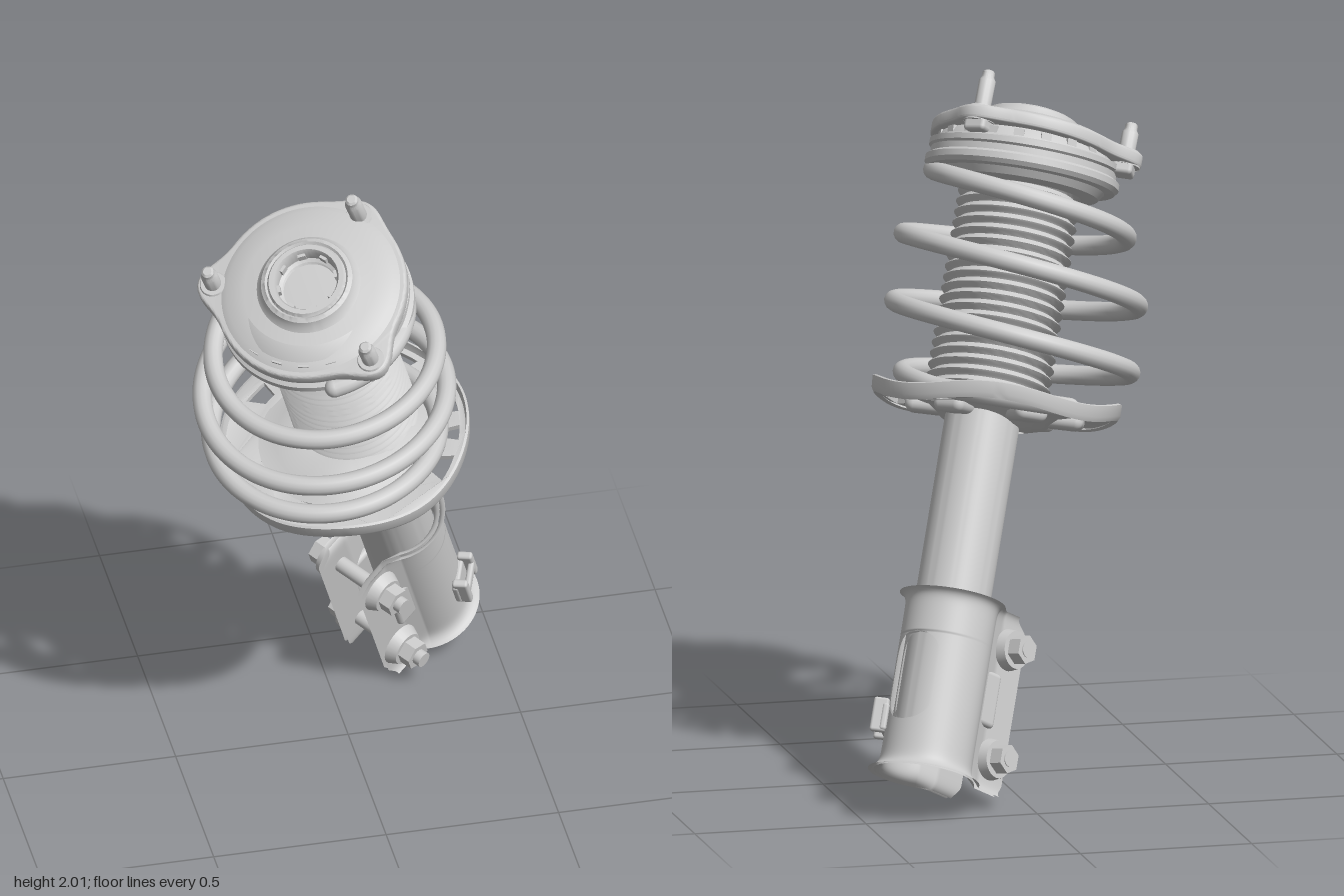
import * as THREE from 'three';
import { toCreasedNormals } from 'three/addons/utils/BufferGeometryUtils.js';
import { RoundedBoxGeometry } from 'three/addons/geometries/RoundedBoxGeometry.js';
import { ParametricGeometry } from 'three/addons/geometries/ParametricGeometry.js';

const V = (x, y, z) => new THREE.Vector3(x, y, z);
const mat = new THREE.MeshStandardMaterial({ color: 0xcccccc, side: THREE.DoubleSide });
const BASE = V(0.317, 0.11, -0.44), TOP = V(-0.188, 1.82, 0.309);
const AXIS = TOP.clone().sub(BASE).normalize();

function add(parent, name, geo, x = 0, y = 0, z = 0) {
  const m = new THREE.Mesh(geo, mat);
  m.name = name;
  m.position.set(x, y, z);
  parent.add(m);
  return m;
}

// Rotation whose y follows "up" and whose x leans toward "side"
function basis(up, side) {
  const y = up.clone().normalize();
  const x = side.clone().addScaledVector(y, -side.dot(y)).normalize();
  return new THREE.Matrix4().makeBasis(x, y, x.clone().cross(y));
}

function frame(parent, name, pos, up, side = V(1, 0, 0)) {
  const g = new THREE.Group();
  g.name = name;
  g.position.copy(pos);
  g.quaternion.setFromRotationMatrix(basis(up, side));
  parent.add(g);
  return g;
}

const lathe = (pts, seg = 72) =>
  toCreasedNormals(new THREE.LatheGeometry(pts.map(p => new THREE.Vector2(p[0], p[1])), seg), 0.6);

// Closed outline from a radius rule
function outline(radius, n = 120) {
  const pts = [];
  for (let i = 0; i < n; i++) {
    const a = i / n * Math.PI * 2, r = radius(a);
    pts.push(new THREE.Vector2(Math.cos(a) * r, Math.sin(a) * r));
  }
  return pts;
}

// Clevis bracket half: arc around the tube, then a straight ear
function bracketSide(sign, inset) {
  const H = 0.52;
  return new ParametricGeometry((u, v, p) => {
    const s = v * H;
    const flare = 0.03 * Math.exp(-s / 0.012) + 0.022 * Math.exp(-(H - s) / 0.01);
    const w = (s - 0.265) / 0.13;
    const gap = Math.abs(w) < 1 ? 0.65 * Math.pow(1 - w ** 4, 0.5) : 0;
    const r = 0.13 + flare - inset, earZ = 0.082 + flare * 0.5 - inset;
    const reach = 0.243 - 0.05 * THREE.MathUtils.smoothstep(s, 0.47, H)
      - 0.02 * (1 - THREE.MathUtils.smoothstep(s, 0, 0.04));
    const end = 0.87, ax = Math.cos(end) * r, az = Math.sin(end) * r;
    if (u < 0.6) {
      const a = THREE.MathUtils.lerp(Math.PI - gap, end, u / 0.6);
      p.set(Math.cos(a) * r, s, sign * Math.sin(a) * r);
    } else if (u < 0.8) {
      const t = (u - 0.6) / 0.2;
      p.set(THREE.MathUtils.lerp(ax, 0.13, t), s, sign * THREE.MathUtils.lerp(az, earZ, t));
    } else p.set(THREE.MathUtils.lerp(0.13, reach, (u - 0.8) / 0.2), s, sign * earZ);
  }, 40, 104);
}

function buildLowerStrut(root) {
  const g = frame(root, 'lowerStrut', BASE, AXIS, V(-0.774, -0.447, 0.486));
  add(g, 'damperTube', lathe([[0, 0.12], [0.09, 0.12], [0.107, 0.135], [0.107, 1.12], [0, 1.12]]));
  for (const sign of [-1, 1]) {
    add(g, 'bracketOuterWall', bracketSide(sign, 0));
    add(g, 'bracketInnerWall', bracketSide(sign, 0.016));
    add(g, 'bracketPanel', new RoundedBoxGeometry(0.09, 0.16, 0.03, 3, 0.014), 0.115, 0.26, sign * 0.08);
  }
  // Two through bolts with flanged heads and nuts
  for (const s of [0.098, 0.42]) {
    const bolt = new THREE.Group();
    bolt.name = 'clampBolt';
    bolt.position.set(0.178, s, 0);
    bolt.rotation.x = Math.PI / 2;
    g.add(bolt);
    add(bolt, 'boltShaft', new THREE.CylinderGeometry(0.023, 0.023, 0.33, 20), 0, -0.01, 0);
    for (const d of [-1, 1]) {
      add(bolt, 'washer', new THREE.CylinderGeometry(d < 0 ? 0.064 : 0.054, d < 0 ? 0.05 : 0.06, 0.03, 28), 0, d * 0.098, 0);
      add(bolt, d < 0 ? 'boltHead' : 'nut',
        toCreasedNormals(new THREE.CylinderGeometry(0.042, 0.042, 0.045, 6), 0.4), 0, d * 0.13, 0);
    }
  }
  // Hose clip on the bolt head side
  const clip = new THREE.Group();
  clip.name = 'hoseClip';
  clip.position.set(-0.07, 0.146, -0.11);
  clip.rotation.y = 0.56;
  g.add(clip);
  add(clip, 'clipBase', new RoundedBoxGeometry(0.12, 0.08, 0.02, 2, 0.008));
  for (const x of [-0.045, 0.045])
    add(clip, 'clipArm', new RoundedBoxGeometry(0.024, 0.1, 0.045, 2, 0.008), x, 0.005, -0.015);
  add(clip, 'clipBridge', new RoundedBoxGeometry(0.09, 0.03, 0.018, 2, 0.008), 0, 0.01, -0.03);
  // Corrugated dust boot
  const pts = [[0.12, 1.08]];
  const ribs = 20, steps = 6;
  for (let i = 0; i <= ribs * steps; i++) {
    const t = i / (ribs * steps);
    pts.push([0.17 - 0.004 * t + 0.009 * Math.cos(t * ribs * Math.PI * 2), 1.09 + t * 0.64]);
  }
  add(g, 'dustBoot', lathe(pts, 56));
}

// Wavy, pierced lower spring seat
function buildLowerSeat(root) {
  const g = frame(root, 'lowerSeat', V(-0.015, 1.065, 0.042), V(-0.2, 1, 0.27));
  const wave = geo => {
    const p = geo.attributes.position;
    for (let i = 0; i < p.count; i++) {
      const x = p.getX(i), z = p.getZ(i), r = Math.hypot(x, z);
      p.setY(i, p.getY(i) + 0.013 * Math.sin(4 * Math.atan2(z, x) + 0.6) * Math.min(1, r / 0.34) ** 2);
    }
    geo.computeVertexNormals();
    return toCreasedNormals(geo, 0.6);
  };
  const ring = new THREE.Shape(outline(() => 0.345));
  ring.holes.push(new THREE.Path(outline(() => 0.235)));
  for (let i = 0; i < 9; i++) {
    const a = -2.3 + i * 0.37, w = i % 2 ? 0.08 : 0.13;
    const pts = [];
    for (let k = 0; k <= 4; k++) pts.push([0.326, a - w + k * w / 2]);
    for (let k = 4; k >= 0; k--) pts.push([0.27, a - w * 0.6 + k * w * 0.3]);
    ring.holes.push(new THREE.Path(pts.map(([r, t]) => new THREE.Vector2(Math.cos(t) * r, Math.sin(t) * r))));
  }
  add(g, 'seatRing', wave(new THREE.ExtrudeGeometry(ring, { depth: 0.016, bevelEnabled: false }).rotateX(Math.PI / 2)));
  add(g, 'seatDish', wave(new THREE.LatheGeometry([[0.09, -0.075], [0.15, -0.06], [0.19, -0.03], [0.25, -0.018],
    [0.25, 0], [0.2, 0.012], [0.15, 0.035], [0.09, 0.035]].map(p => new THREE.Vector2(...p)), 96)));
  add(g, 'seatLip', wave(new THREE.LatheGeometry([[0.335, -0.018], [0.348, -0.022], [0.355, -0.008], [0.356, 0.024],
    [0.349, 0.027], [0.344, 0.002], [0.335, -0.018]].map(p => new THREE.Vector2(...p)), 96)));
  // Stiffening swells below the dish
  for (let i = 0; i < 6; i++) {
    const a = i * Math.PI / 3 + 0.3;
    add(g, 'seatRib', new RoundedBoxGeometry(0.15, 0.05, 0.1, 4, 0.024),
      Math.cos(a) * 0.18, -0.027, Math.sin(a) * 0.18).rotation.y = -a;
  }
}

// Coil whose centre line and tilt drift between the two seats
function buildSpring(root) {
  const c0 = V(-0.07, 1.09, 0.07), c1 = V(-0.15, 1.635, 0.25);
  const n0 = V(-0.21, 1, 0.18), n1 = V(-0.26, 1, 0.27);
  const pts = [], from = -Math.PI * 0.6, to = Math.PI * 6.5, n = 150;
  for (let i = 0; i <= n; i++) {
    const a = from + (to - from) * i / n;
    const t = THREE.MathUtils.clamp(a / (Math.PI * 6), -0.03, 1.03);
    const k = THREE.MathUtils.clamp(t, 0, 1);
    const r = 0.313 + 0.042 * Math.sin(Math.PI * k) - 0.05 * k ** 3;
    pts.push(V(Math.cos(a) * r, 0, Math.sin(a) * r)
      .applyMatrix4(basis(n0.clone().lerp(n1, k), V(1, 0, 0))).add(c0.clone().lerp(c1, t))
      .add(V(0, 0, 0.015 * Math.sin(Math.PI * k))));
  }
  const curve = new THREE.CatmullRomCurve3(pts);
  add(root, 'coilSpring', new THREE.TubeGeometry(curve, 420, 0.028, 14));
  for (const p of [pts[0], pts[n]])
    add(root, 'springEnd', new THREE.SphereGeometry(0.028, 14, 10), p.x, p.y, p.z);
}

// Upper spring seat and bearing, tilted less than the plate above
function buildUpperSeat(root) {
  const g = frame(root, 'upperSeat', V(-0.14, 1.672, 0.242), V(-0.27, 1, 0.36));
  add(g, 'upperSpringSeat', lathe([[0.15, -0.04], [0.225, -0.035], [0.24, -0.015], [0.268, -0.012], [0.278, 0],
    [0.278, 0.018], [0.266, 0.026], [0.266, 0.044], [0.273, 0.05], [0.273, 0.066], [0.256, 0.072],
    [0.24, 0.1], [0.2, 0.12]], 96));
  for (let i = 0; i < 20; i++) {
    const a = i * Math.PI / 10;
    add(g, 'bearingRib', new THREE.BoxGeometry(0.014, 0.03, 0.03),
      Math.cos(a) * 0.247, 0.08, Math.sin(a) * 0.247).rotation.y = -a;
  }
}

// Top mount: lobed plate, raised collar and three studs
function buildTopMount(root) {
  const g = frame(root, 'topMount', TOP, V(-0.3, 0.87, 0.43));
  // Stud angle, distance from the centre, tip height
  const studs = [[-46, 0.258, 0.056], [65, 0.292, 0.03], [200, 0.285, 0.03]]
    .map(([d, r, top]) => [THREE.MathUtils.degToRad(d), r, top]);
  const plate = outline(a => {
    let r = 0.268;
    for (const [s, dist] of studs) {
      const d = Math.atan2(Math.sin(a - s), Math.cos(a - s));
      r += (dist - 0.228) * Math.exp(-((d / 0.24) ** 2));
    }
    return r;
  }, 150);
  add(g, 'mountPlate', toCreasedNormals(new THREE.ExtrudeGeometry(new THREE.Shape(plate),
    { depth: 0.025, bevelSize: 0.008, bevelThickness: 0.008, bevelSegments: 3 }).rotateX(Math.PI / 2), 0.6), 0, -0.065, 0);
  // Dome with a deep, ribbed bore
  const bore = [[0.266, -0.062], [0.24, -0.045], [0.19, -0.034], [0.15, -0.027], [0.138, -0.015], [0.132, 0.002],
    [0.12, 0.008], [0.114, 0.002], [0.108, 0.012], [0.094, 0.012], [0.088, 0], [0.088, -0.035]];
  for (let i = 0; i < 6; i++) bore.push([0.078, -0.04 - i * 0.016], [0.086, -0.048 - i * 0.016]);
  bore.push([0.07, -0.14], [0, -0.14]);
  add(g, 'mountDome', lathe(bore, 96));
  for (let i = 0; i < 8; i++) {
    const a = i * Math.PI / 4;
    add(g, 'boreTab', new THREE.BoxGeometry(0.014, 0.022, 0.022),
      Math.cos(a) * 0.086, -0.012, Math.sin(a) * 0.086).rotation.y = -a;
  }
  for (const [a, dist, top] of studs) {
    const x = Math.cos(a) * dist, z = Math.sin(a) * dist;
    add(g, 'studBoss', lathe([[0.046, -0.1], [0.046, -0.07], [0.036, -0.052], [0, -0.052]], 32), x, 0, z);
    add(g, 'studHead', new RoundedBoxGeometry(0.06, 0.045, 0.07, 2, 0.012), x, -0.105, z).rotation.y = -a;
    add(g, 'stud', lathe([[0.024, -0.06], [0.024, top - 0.03], [0.018, top - 0.02],
      [0.018, top - 0.006], [0.012, top], [0, top]], 24), x, 0, z);
  }
}

export function createModel() {
  const root = new THREE.Group();
  root.name = 'suspensionStrut';
  buildLowerStrut(root);
  buildLowerSeat(root);
  buildSpring(root);
  buildUpperSeat(root);
  buildTopMount(root);
  return root;
}
